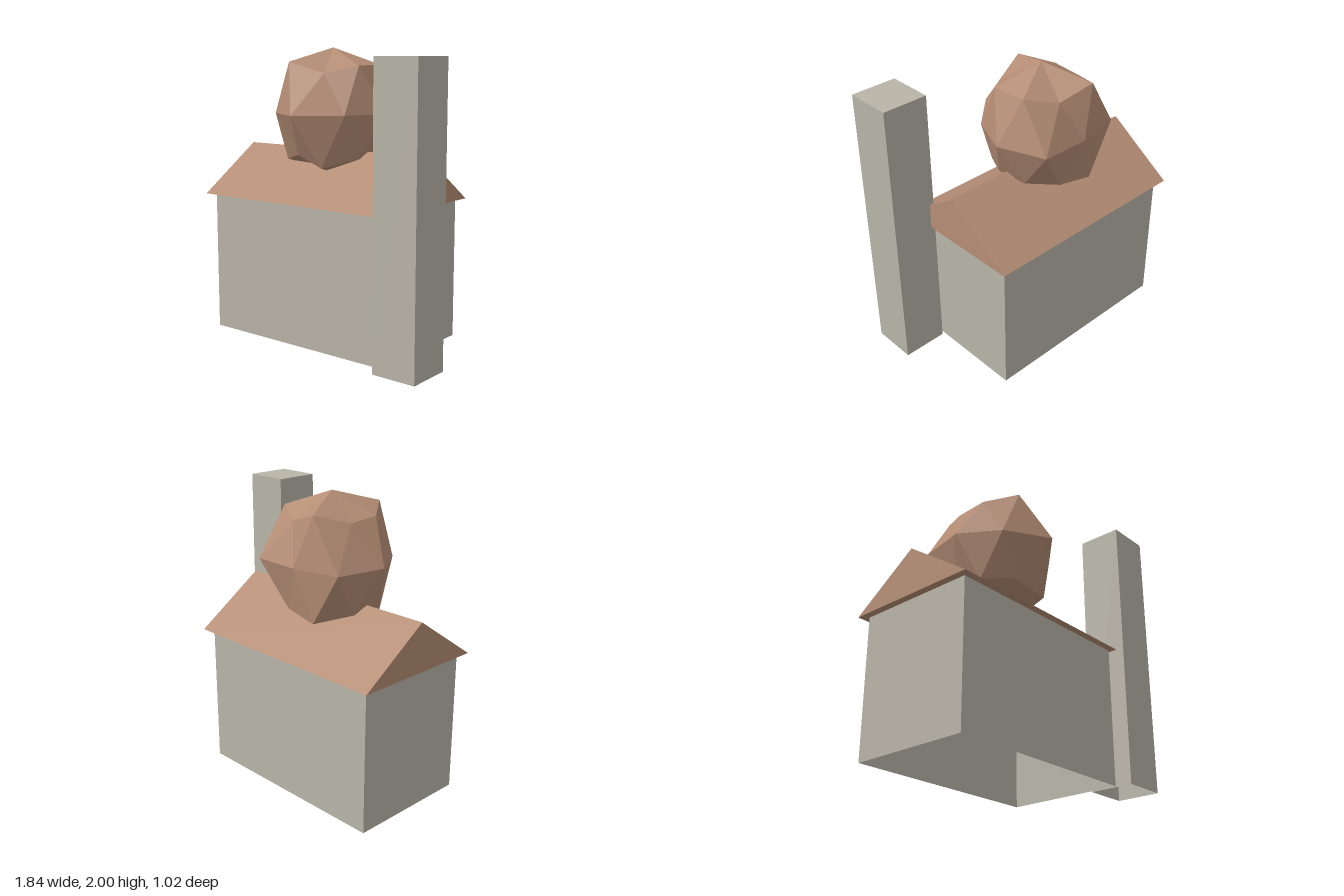
import * as THREE from 'three';

const stone = new THREE.MeshStandardMaterial({ color: 0xb8b4a7, side: THREE.DoubleSide, flatShading: true });
stone.name = 'stone grey';
const clay = new THREE.MeshStandardMaterial({ color: 0xb58d75, side: THREE.DoubleSide, flatShading: true });
clay.name = 'clay brown';

// Middle of the house, shared by walls, roof and ball
const CX = -0.1425, CZ = -0.03;

// Box standing on the ground, without its underside
function openBox(name, w, h, d, x, z) {
  const geo = new THREE.BoxGeometry(w, h, d);
  const index = Array.from(geo.index.array);
  index.splice(18, 6);
  geo.setIndex(index);
  geo.clearGroups();
  geo.translate(x, h / 2, z);
  const mesh = new THREE.Mesh(geo, stone);
  mesh.name = name;
  return mesh;
}

// Gabled prism running along x
function makeRoof() {
  const length = 1.555, half = 0.4825, eave = 0.975, ridge = 1.305;
  const gable = new THREE.Shape();
  gable.moveTo(-half, eave);
  gable.lineTo(half, eave);
  gable.lineTo(0, ridge);
  gable.closePath();
  const geo = new THREE.ExtrudeGeometry(gable, { depth: length, bevelEnabled: false });
  geo.translate(0, 0, -length / 2);
  geo.rotateY(Math.PI / 2);
  geo.translate(CX, 0, CZ);
  const mesh = new THREE.Mesh(geo, clay);
  mesh.name = 'roof';
  return mesh;
}

// Lumpy ball: two poles, a wide ring and two rings staggered above and below it
function makeBall() {
  const cy = 1.56, n = 8;
  const upper = [0.32, 0.27, 0.345, 0.295, 0.28, 0.345, 0.27, 0.325];
  const middle = [0.425, 0.39, 0.49, 0.40, 0.43, 0.47, 0.37, 0.47];
  const lower = [0.30, 0.35, 0.28, 0.33, 0.31, 0.35, 0.31, 0.30];
  const points = [];
  const addRing = (radii, startDeg, rise) => radii.forEach((r, i) => {
    const a = THREE.MathUtils.degToRad(startDeg + i * 360 / n);
    points.push(CX + r * Math.cos(a), cy + rise * r, CZ + r * Math.sin(a));
  });
  addRing(upper, 19, 1);
  addRing(middle, -5, 0);
  addRing(lower, 19, -1);
  points.push(CX, 2.0, CZ, CX, 1.14, CZ);

  const index = [];
  for (let i = 0; i < n; i++) {
    const j = (i + 1) % n;
    // The lower half repeats the upper one with reversed corners
    for (const [ring, pole, flip] of [[0, 3 * n, false], [2 * n, 3 * n + 1, true]]) {
      const faces = [
        [pole, ring + j, ring + i],
        [ring + i, n + j, n + i],
        [ring + i, ring + j, n + j],
      ];
      for (const f of faces) index.push(...(flip ? f.reverse() : f));
    }
  }
  let geo = new THREE.BufferGeometry();
  geo.setAttribute('position', new THREE.Float32BufferAttribute(points, 3));
  geo.setIndex(index);
  geo = geo.toNonIndexed();
  geo.computeVertexNormals();
  const mesh = new THREE.Mesh(geo, clay);
  mesh.name = 'roofBall';
  return mesh;
}

export function createModel() {
  const model = new THREE.Group();
  model.name = 'house';
  model.add(
    openBox('walls', 1.455, 0.975, 0.86, CX, CZ),
    openBox('tower', 0.315, 1.94, 0.315, 0.7625, 0.3525),
    makeRoof(),
    makeBall(),
  );
  return model;
}
